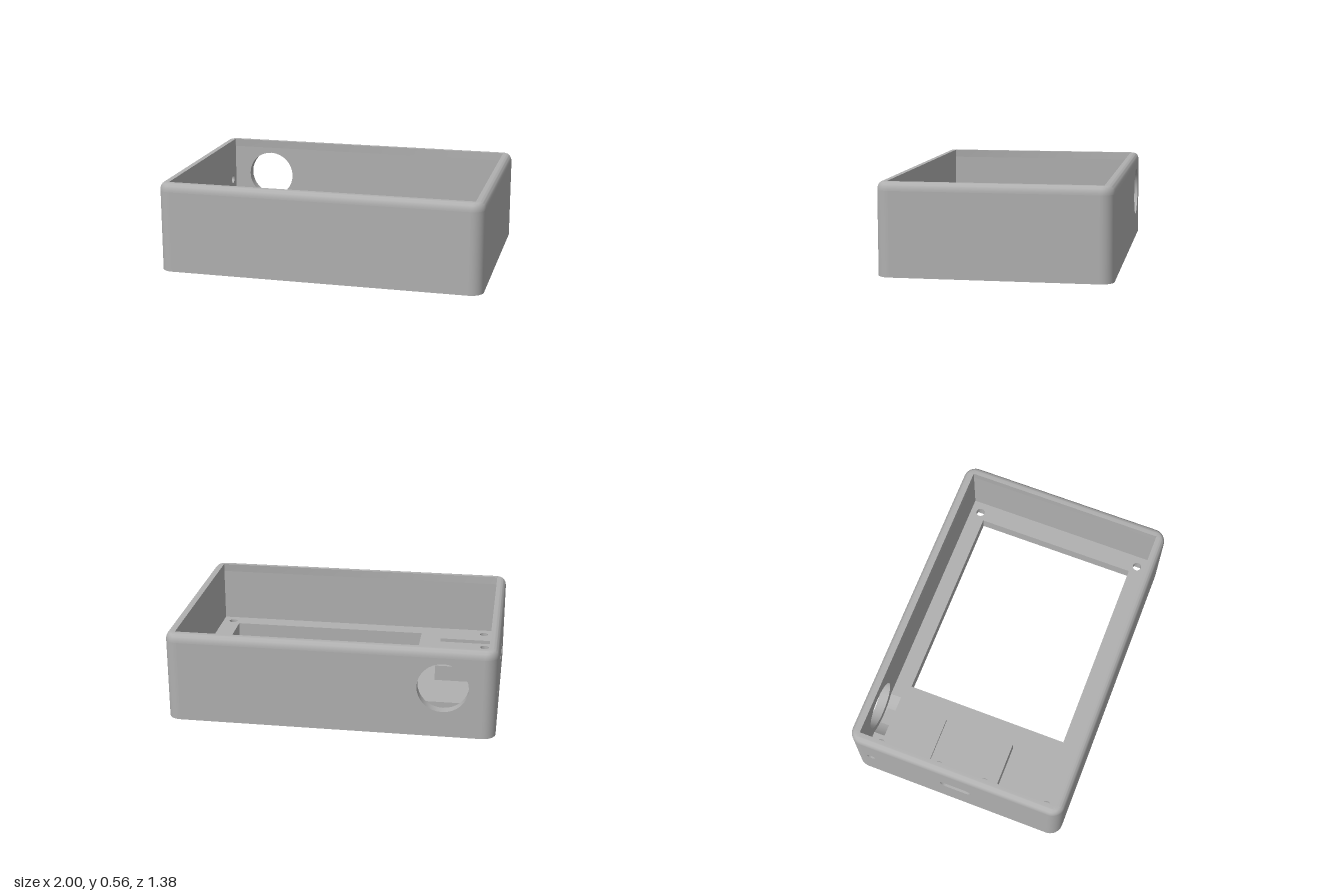
import * as THREE from 'three';
import { toCreasedNormals } from 'three/addons/utils/BufferGeometryUtils.js';

const W = 1, D = 0.69, R = 0.08, T = 0.06;        // half width, half depth, corner radius, wall
const WALL_TOP = 0.505, TOP = 0.555, MID = 0.28;   // heights
const IX = W - T, IZ = D - T;                      // half size of the cavity
const FLOOR_LOW = 0.08, FLOOR_STEP = 0.12, FLOOR_TOP = 0.165;

const rect = (x0, y0, x1, y1) => [[x0, y0], [x1, y0], [x1, y1], [x0, y1]];

const arc = (cx, cy, r, a0, a1, n) => Array.from({ length: n + 1 }, (_, i) => {
  const a = a0 + (a1 - a0) * i / n;
  return [cx + r * Math.cos(a), cy + r * Math.sin(a)];
});

const circle = (cx, cy, r) => arc(cx, cy, r, 0, Math.PI * 2, 32).slice(0, -1);

const vectors = (points) => points.map(([x, y]) => new THREE.Vector2(x, y));

function extrude(outline, holes, depth) {
  const shape = new THREE.Shape(vectors(outline));
  shape.holes = holes.map((h) => new THREE.Path(vectors(h)));
  const geometry = new THREE.ExtrudeGeometry(shape, { depth, bevelEnabled: false });
  return toCreasedNormals(geometry, 0.6);
}

// Outline in x and z, raised from y0 to y1
function slab(outline, holes, y0, y1) {
  return extrude(outline, holes, y1 - y0).rotateX(Math.PI / 2).translate(0, y1, 0);
}

// Rounded rectangle loop at a given inset from the outer walls
function loop(inset, y) {
  const r = Math.max(R - inset * 1.3, 0.003);
  const x = W - inset - r, z = D - inset - r;
  return [[x, z], [-x, z], [-x, -z], [x, -z]].flatMap(([cx, cz], k) =>
    arc(cx, cz, r, k * Math.PI / 2, (k + 1) * Math.PI / 2, 10).map(([px, pz]) => [px, y, pz]));
}

function loft(loops) {
  const n = loops[0].length, positions = [];
  for (let i = 0; i < loops.length - 1; i++) {
    for (let j = 0; j < n; j++) {
      const k = (j + 1) % n;
      const a = loops[i][j], b = loops[i][k], c = loops[i + 1][j], d = loops[i + 1][k];
      positions.push(...a, ...c, ...b, ...b, ...c, ...d);
    }
  }
  const geometry = new THREE.BufferGeometry();
  geometry.setAttribute('position', new THREE.Float32BufferAttribute(positions, 3));
  return toCreasedNormals(geometry, 0.6);
}

export function createModel() {
  const model = new THREE.Group();
  model.name = 'enclosure';
  const grey = new THREE.MeshStandardMaterial({ color: 0xb0b0b0 });
  grey.name = 'grey plastic';
  const add = (name, geometry) => {
    const mesh = new THREE.Mesh(geometry, grey);
    mesh.name = name;
    model.add(mesh);
  };

  // Straight walls with their ports
  const long = rect(-W + R, 0, W - R, WALL_TOP);
  const short = rect(-D + R, 0, D - R, WALL_TOP);
  const slot = [
    ...arc(0.07, MID, 0.036, -Math.PI / 2, Math.PI / 2, 12),
    ...arc(-0.06, MID, 0.036, Math.PI / 2, Math.PI * 1.5, 12),
  ];
  add('frontWall', extrude(long, [], T).translate(0, 0, IZ));
  add('backWall', extrude(long, [circle(-0.68, 0.315, 0.154)], T).translate(0, 0, -D));
  add('leftWall', extrude(short, [], T).rotateY(-Math.PI / 2).translate(W, 0, 0));
  add('rightWall', extrude(short, [slot, circle(-0.56, MID, 0.027)], T)
    .rotateY(-Math.PI / 2).translate(-IX, 0, 0));

  // Rounded corner posts
  const corner = [...arc(W - R, D - R, R, 0, Math.PI / 2, 10),
    [W - R, IZ], [IX, IZ], [IX, D - R]];
  for (const sx of [1, -1]) {
    for (const sz of [1, -1]) {
      add('wallCorner', slab(corner.map(([x, z]) => [x * sx, z * sz]), [], 0, WALL_TOP));
    }
  }

  // Softened top rim
  const rim = arc(0, 0, 1, 0, Math.PI / 2, 8).map(([c, s]) =>
    loop(0.036 * (1 - c), WALL_TOP + (TOP - WALL_TOP) * s));
  add('topRim', loft([...rim, loop(T, TOP), loop(T, WALL_TOP)]));

  // Raised floor with screen window, port notch and counterbored screw holes
  const notchLeft = -0.817, notchRight = -0.543, notchFront = -0.56;
  const floor = [[-IX, -IZ], [notchLeft, -IZ], [notchLeft, notchFront],
    [notchRight, notchFront], [notchRight, -IZ], [IX, -IZ], [IX, IZ], [-IX, IZ]];
  const screen = rect(-0.45, -0.525, 0.82, 0.52);
  const screws = (r) => [-0.87, 0.87].flatMap((x) => [-0.565, 0.56].map((z) => circle(x, z, r)));
  add('floorUpper', slab(floor, [screen, ...screws(0.027)], FLOOR_STEP, FLOOR_TOP));
  add('floorLower', slab(floor, [screen, ...screws(0.057)], FLOOR_LOW, FLOOR_STEP));

  // Curved groove under the round port
  const half = Math.asin(0.137 / 0.207);
  const groove = [[notchLeft, FLOOR_LOW], [notchRight, FLOOR_LOW],
    ...arc(-0.68, 0.32, 0.207, -Math.PI / 2 + half, -Math.PI / 2 - half, 14)];
  add('portGroove', extrude(groove, [], notchFront + IZ).translate(0, 0, -IZ));

  // Board mount with blind holes and side rails
  const x0 = -IX, x1 = -0.6, z0 = -0.24, z1 = 0.235, rail = 0.025;
  add('mountBase', slab(rect(x0, z0, x1, z1), [], FLOOR_TOP, 0.19));
  add('mountTop', slab(rect(x0, z0, x1, z1),
    [circle(-0.89, -0.155, 0.027), circle(-0.89, 0.15, 0.027)], 0.19, 0.24));
  for (const z of [z0, z1 - rail]) {
    add('mountRail', slab(rect(x0, z, x1, z + rail), [], 0.24, 0.262));
  }
  return model;
}
